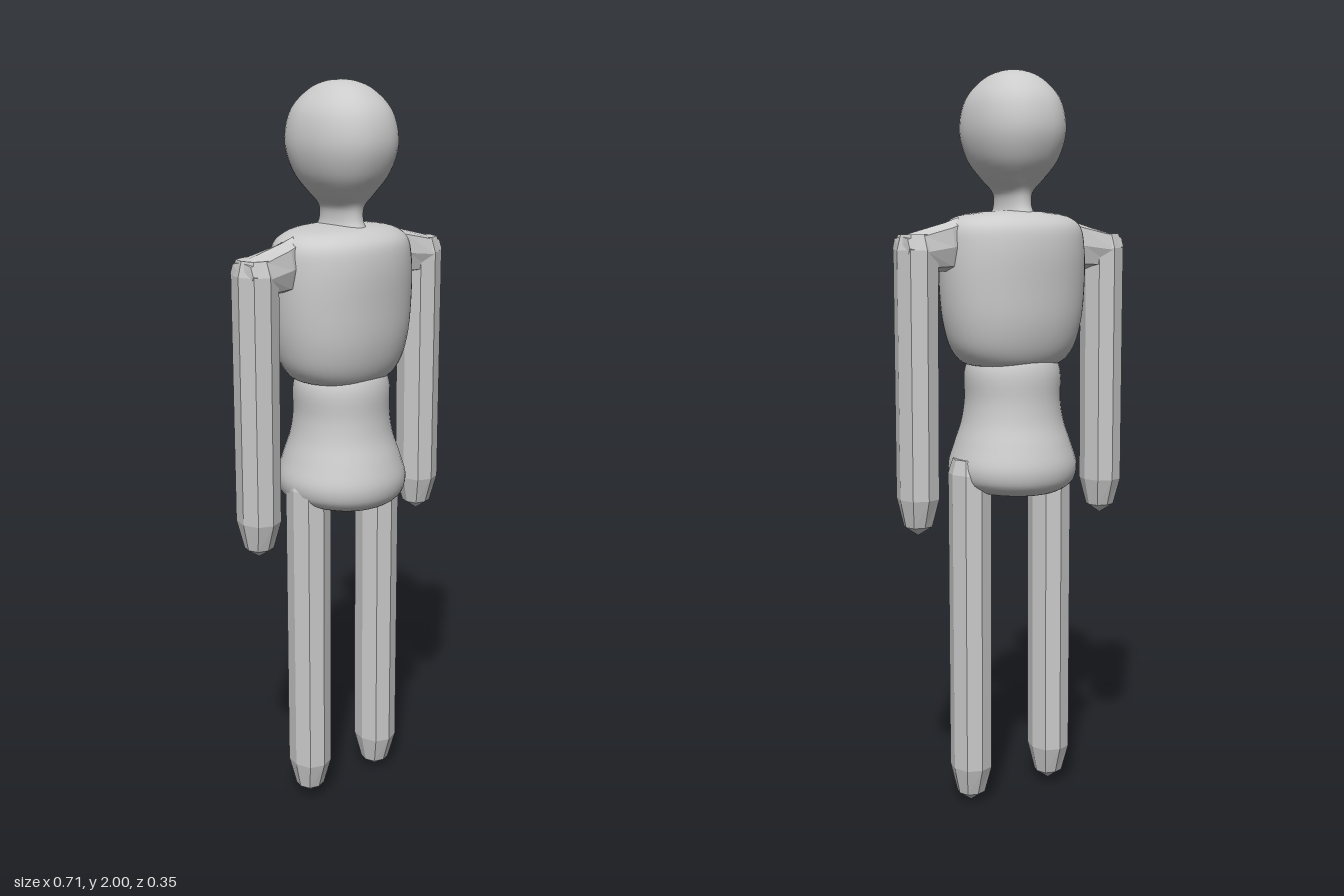
import * as THREE from 'three';

const smoothGrey = new THREE.MeshStandardMaterial({ color: 0xcccccc });
const facetGrey = new THREE.MeshStandardMaterial({ color: 0xcccccc, flatShading: true });

// Skins rings [height, radiusX, radiusZ, centreX]; power 2 is an ellipse, higher is boxier
function loft(rings, sides, power) {
  const pos = [], index = [];
  const bend = (v) => Math.sign(v) * Math.abs(v) ** (2 / power);
  for (const [y, rx, rz, cx = 0] of rings) {
    for (let j = 0; j < sides; j++) {
      const a = (j / sides) * Math.PI * 2;
      pos.push(cx + rx * bend(Math.cos(a)), y, rz * bend(Math.sin(a)));
    }
  }
  for (let i = 0; i < rings.length - 1; i++) {
    for (let j = 0; j < sides; j++) {
      const k = (j + 1) % sides;
      const a = i * sides + j, b = i * sides + k;
      index.push(a, a + sides, b, b, a + sides, b + sides);
    }
  }
  const geo = new THREE.BufferGeometry();
  geo.setAttribute('position', new THREE.Float32BufferAttribute(pos, 3));
  geo.setIndex(index);
  geo.computeVertexNormals();
  return geo;
}

// Rounded body part: rings are smoothed with a spline first
function softPart(name, rings, power) {
  const curve = new THREE.CatmullRomCurve3(rings.map((r) => new THREE.Vector3(...r)));
  const fine = curve.getPoints(rings.length * 4)
    .map((p) => [p.y, Math.max(p.x, 0), Math.max(p.z, 0)]);
  const mesh = new THREE.Mesh(loft(fine, 40, power), smoothGrey);
  mesh.name = name;
  return mesh;
}

// Eight-sided straight limb with a blunt tapered tip
function limb(name, x, bottom, top) {
  const rings = [
    [bottom, 0, 0],
    [bottom + 0.025, 0.037, 0.037],
    [bottom + 0.1, 0.053, 0.06],
    [top - 0.04, 0.055, 0.061],
    [top, 0.044, 0.046],
    [top, 0, 0],
  ];
  const mesh = new THREE.Mesh(loft(rings, 8, 2.4), facetGrey);
  mesh.name = name;
  mesh.position.x = x;
  return mesh;
}

// Shoulder bar reaching out of the chest, rising toward the neck
function shoulder(name, side) {
  const spans = [ // x, bottom, top, half depth
    [0.14, 1.54, 1.54, 0],
    [0.14, 1.47, 1.615, 0.034],
    [0.175, 1.47, 1.61, 0.036],
    [0.21, 1.47, 1.598, 0.047],
    [0.3, 1.47, 1.575, 0.06],
    [0.344, 1.5, 1.563, 0.045],
    [0.35, 1.53, 1.53, 0],
  ];
  const rings = spans.map(([x, lo, hi, rz]) => [x, (hi - lo) / 2, rz, -(hi + lo) / 2]);
  const geo = loft(rings, 8, 2.8).rotateZ(-Math.PI / 2);
  geo.scale(1, -1, 1).scale(1, -1, 1);
  geo.rotateX(0);
  const mesh = new THREE.Mesh(geo, facetGrey);
  // turn lying rings upright along +x, then face the chosen side
  geo.computeBoundingBox();
  if (geo.boundingBox.max.y < 0) geo.rotateX(Math.PI);
  if (side < 0) geo.rotateY(Math.PI);
  mesh.name = name;
  return mesh;
}

export function createModel() {
  const model = new THREE.Group();
  model.name = 'figure';

  // Body parts as [radiusX, height, radiusZ]
  model.add(softPart('headAndNeck', [
    [0.045, 1.61, 0.09], [0.035, 1.64, 0.074], [0.037, 1.675, 0.074], [0.07, 1.71, 0.095],
    [0.109, 1.765, 0.135], [0.128, 1.84, 0.157], [0.115, 1.92, 0.14],
    [0.07, 1.976, 0.087], [0.03, 1.996, 0.038], [0, 2, 0],
  ], 2.3));

  model.add(softPart('chest', [
    [0, 1.215, 0], [0.1, 1.215, 0.09], [0.14, 1.222, 0.115], [0.175, 1.26, 0.137],
    [0.197, 1.33, 0.153], [0.208, 1.43, 0.158], [0.207, 1.53, 0.158], [0.197, 1.585, 0.147],
    [0.165, 1.612, 0.12], [0.09, 1.626, 0.08], [0, 1.632, 0],
  ], 2.15));

  model.add(softPart('waistAndHips', [
    [0, 0.862, 0], [0.07, 0.864, 0.09], [0.125, 0.874, 0.14], [0.165, 0.9, 0.168],
    [0.175, 0.94, 0.175], [0.158, 1.0, 0.16], [0.139, 1.06, 0.14],
    [0.13, 1.12, 0.131], [0.13, 1.2, 0.128], [0.11, 1.24, 0.11], [0, 1.25, 0],
  ], 2.1));

  for (const [word, side] of [['left', 1], ['right', -1]]) {
    model.add(shoulder(word + 'Shoulder', side));
    model.add(limb(word + 'Arm', side * 0.301, 0.772, 1.567));
  }
  model.add(limb('leftLeg', 0.138, 0, 0.965));
  model.add(limb('rightLeg', -0.123, 0.01, 0.965));
  return model;
}
